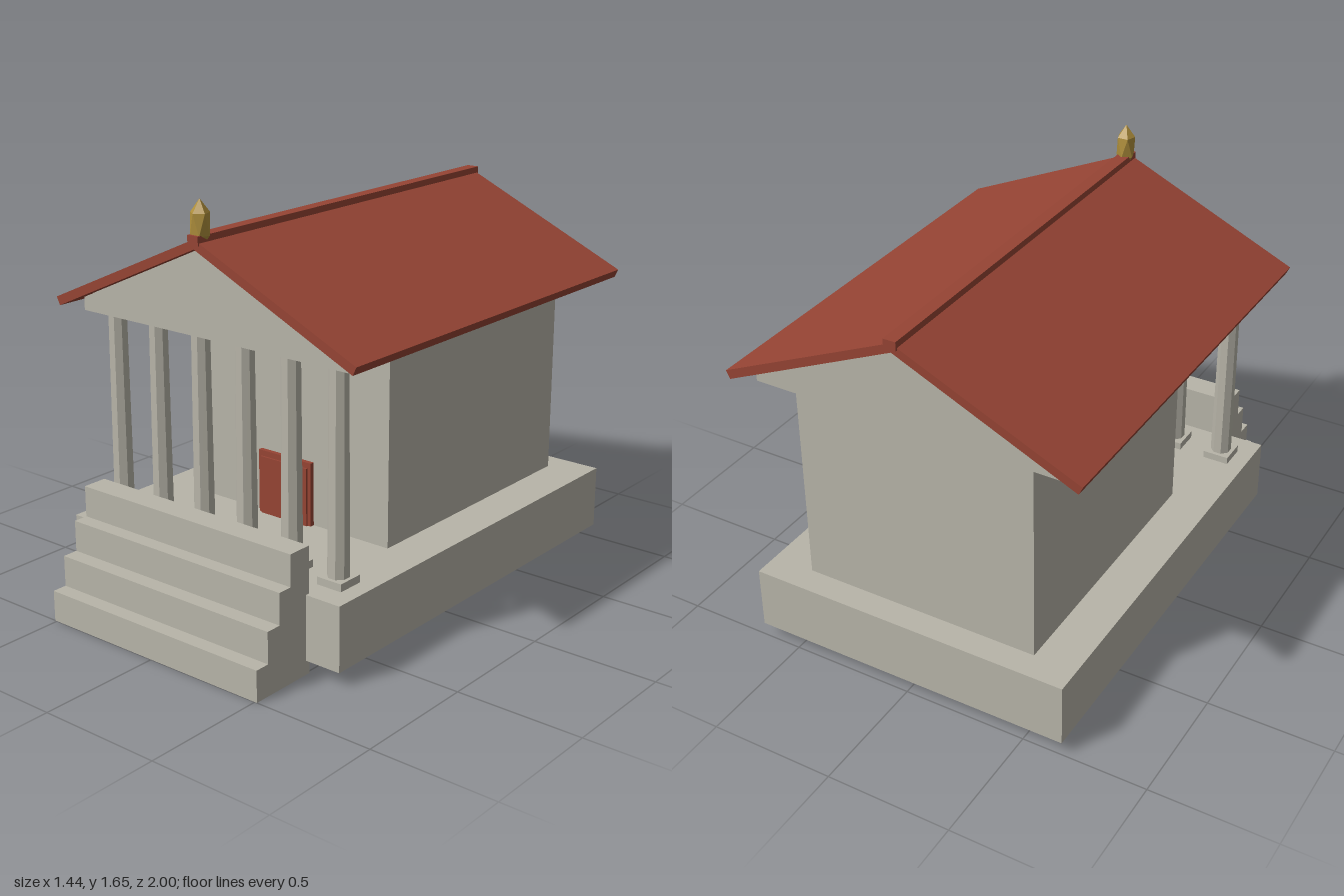
import * as THREE from 'three';

const mat = (name, color) => {
  const m = new THREE.MeshStandardMaterial({ color });
  m.name = name;
  return m;
};

export function createModel() {
  const temple = new THREE.Group();
  temple.name = 'temple';
  const stone = mat('stone', 0xb8b5a9);
  const terracotta = mat('terracotta', 0x964434);
  const gold = mat('gold', 0xb0903c);

  const add = (name, geometry, material, parent = temple) => {
    const mesh = new THREE.Mesh(geometry, material);
    mesh.name = name;
    parent.add(mesh);
    return mesh;
  };
  // Box given by its half width and its y and z ranges
  const box = (name, hx, y0, y1, z0, z1, material) => {
    const g = new THREE.BoxGeometry(hx * 2, y1 - y0, z1 - z0);
    return add(name, g.translate(0, (y0 + y1) / 2, (z0 + z1) / 2), material);
  };
  const prism = (points, depth) => new THREE.ExtrudeGeometry(
    new THREE.Shape(points.map(([x, y]) => new THREE.Vector2(x, y))),
    { depth, bevelEnabled: false });

  // Podium and walled chamber
  box('podium', 0.66, 0.055, 0.31, -1, 0.735, stone);
  box('chamber', 0.487, 0.31, 1.13, -0.895, 0.23, stone);

  // Door with a slightly taller frame behind it
  box('doorFrame', 0.13, 0.31, 0.568, 0.22, 0.249, terracotta);
  box('door', 0.115, 0.31, 0.545, 0.22, 0.257, terracotta);

  // Front stairs: stepped side profile (z, y) extruded across x
  const treads = [1, 0.94, 0.877, 0.818];
  const profile = [[0.717, 0], [1, 0]];
  treads.forEach((z, i) => {
    const y = 0.123 * (i + 1);
    profile.push([z, y], [treads[i + 1] ?? 0.717, y]);
  });
  add('stairs', prism(profile, 1.02).rotateY(-Math.PI / 2).translate(0.51, 0, 0), stone);

  // Row of six octagonal columns on square bases
  const shaft = new THREE.CylinderGeometry(0.0375, 0.042, 0.79, 8).rotateY(Math.PI / 8).toNonIndexed();
  shaft.computeVertexNormals();
  const base = new THREE.BoxGeometry(0.108, 0.03, 0.108);
  for (let i = 0; i < 6; i++) {
    const column = new THREE.Group();
    column.name = 'column';
    column.position.set((i - 2.5) * 0.215, 0.31, 0.587);
    add('columnBase', base, stone, column).position.y = 0.015;
    add('columnShaft', shaft, stone, column).position.y = 0.425;
    temple.add(column);
  }

  // Entablature and gable
  box('entablature', 0.637, 1.13, 1.208, -0.922, 0.662, stone);
  add('gable', prism([[-0.6, 1.208], [0.6, 1.208], [0, 1.478]], 1.604).translate(0, 0, -0.932), stone);

  // Pitched roof with ridge cap
  add('roof', prism([[-0.705, 1.15], [0, 1.47], [0.705, 1.15],
    [0.72, 1.182], [0, 1.506], [-0.72, 1.182]], 1.71).translate(0, 0, -0.985), terracotta);
  box('ridgeCap', 0.025, 1.485, 1.52, -0.992, 0.73, terracotta);

  // Faceted finial with one corner pointing up
  const bud = new THREE.IcosahedronGeometry(1, 0)
    .rotateZ(Math.atan(2 / (1 + Math.sqrt(5)))).rotateY(Math.PI / 2).scale(0.041, 0.09, 0.041);
  add('finial', bud, gold).position.set(0, 1.556, 0.69);

  return temple;
}
